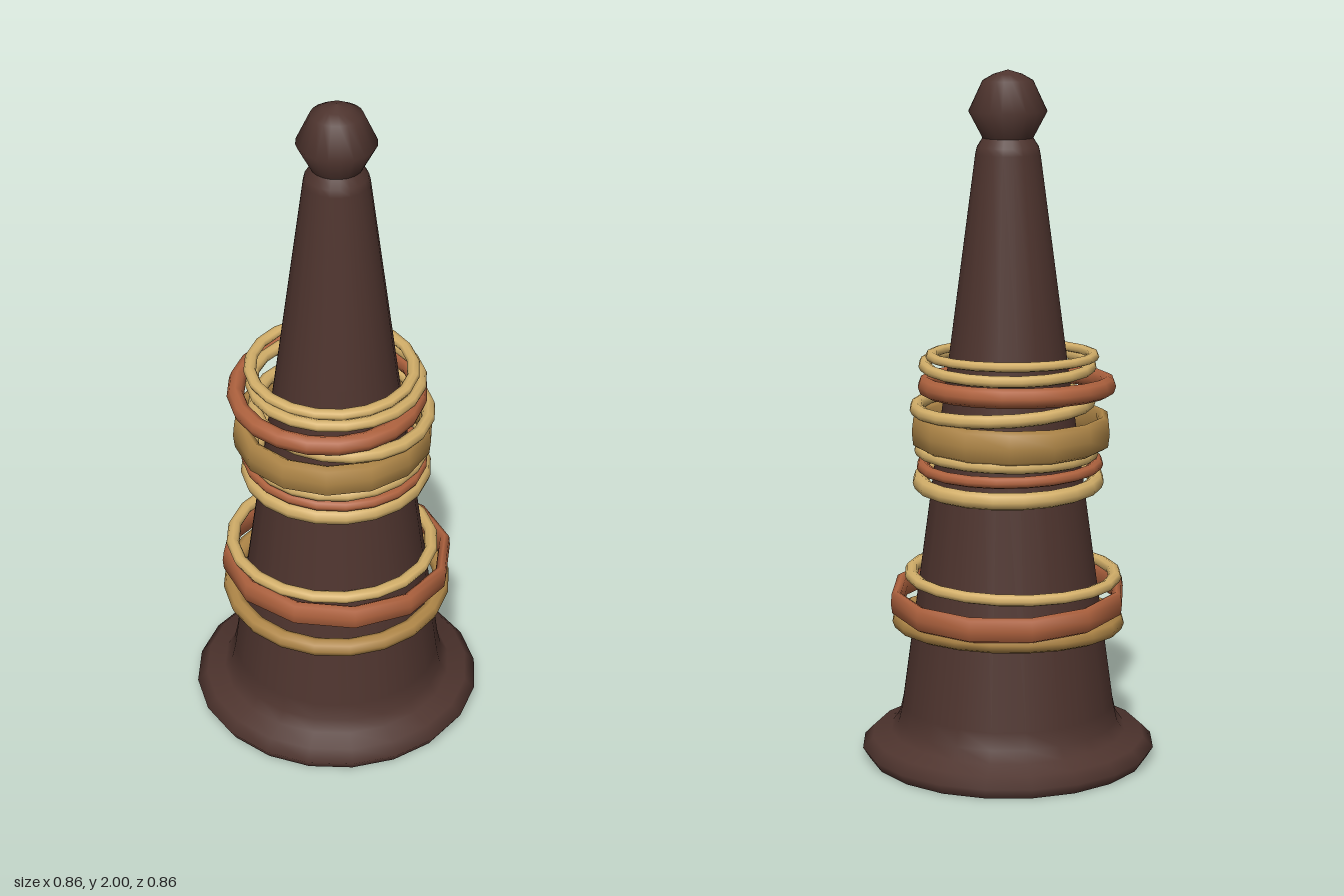
import * as THREE from 'three';

const material = (name, color) => {
  const m = new THREE.MeshStandardMaterial({ color });
  m.name = name;
  return m;
};

export function createModel() {
  const group = new THREE.Group();
  group.name = 'ringCone';
  const brown = material('dark brown', 0x4e342e);
  const copper = material('copper', 0xb0633f);
  const straw = material('straw', 0xd4b06a);
  const gold = material('gold', 0xb08748);

  // Turned stand: flared foot, tapering shaft and knob
  const lathe = (name, pts) => {
    const geo = new THREE.LatheGeometry(pts.map(p => new THREE.Vector2(...p)), 20);
    const mesh = new THREE.Mesh(geo, brown);
    mesh.name = name;
    group.add(mesh);
  };
  lathe('footUnderside', [[0, 0], [0.41, 0]]);
  lathe('stand', [[0.41, 0], [0.43, 0.032], [0.4, 0.062], [0.345, 0.078], [0.323, 0.11], [0.312, 0.16],
    [0.17, 1.19], [0.093, 1.765], [0.088, 1.785], [0.072, 1.81]]);
  lathe('knob', [[0.072, 1.81], [0.112, 1.885], [0.072, 1.97], [0.04, 1.988], [0, 2]]);

  // Loose ring fitted to its x and z extents; dx and dz are the rise across it
  const ring = (name, mat, [x0, x1], [z0, z1], y, height, thick, dx = 0, dz = 0, sides = 20, turn = 0) => {
    const w = x1 - x0, d = z1 - z0, r = (w + d) / 4 - thick / 2;
    const profile = [];
    for (let i = 0; i <= 8; i++) {
      const a = -Math.PI / 2 + (i / 8) * Math.PI * 2;
      // Squarer section for tall bands
      const s = v => Math.sign(v) * Math.pow(Math.abs(v), height > 0.07 ? 0.65 : 1);
      profile.push(new THREE.Vector2(r + s(Math.cos(a)) * thick / 2, s(Math.sin(a)) * height / 2));
    }
    const geo = new THREE.LatheGeometry(profile, sides);
    geo.rotateY(turn);
    geo.scale((2 * w) / (w + d), 1, (2 * d) / (w + d));
    const mesh = new THREE.Mesh(geo, mat);
    mesh.name = name;
    mesh.position.set((x0 + x1) / 2, y, (z0 + z1) / 2);
    mesh.rotation.set(-dz / d, 0, dx / w);
    group.add(mesh);
  };

  // Upper stack
  ring('topRing', straw, [-0.25, 0.255], [-0.215, 0.28], 1.183, 0.028, 0.036, -0.008, -0.012);
  ring('secondRing', straw, [-0.235, 0.28], [-0.22, 0.305], 1.153, 0.034, 0.036, 0.01, 0.01);
  ring('upperCopperRing', copper, [-0.3, 0.275], [-0.255, 0.32], 1.098, 0.058, 0.05, -0.012, -0.02);
  ring('middleStrawRing', straw, [-0.245, 0.295], [-0.255, 0.285], 1.043, 0.04, 0.04, -0.018, 0.016);
  ring('wideBand', gold, [-0.29, 0.292], [-0.268, 0.312], 0.97, 0.098, 0.042, 0.006, 0, 14);
  ring('underBandRing', straw, [-0.255, 0.28], [-0.255, 0.285], 0.908, 0.036, 0.036, 0.008, -0.008);
  ring('thinCopperRing', copper, [-0.27, 0.275], [-0.25, 0.285], 0.868, 0.034, 0.036, -0.008, 0.006);
  ring('upperStackBaseRing', straw, [-0.275, 0.28], [-0.275, 0.29], 0.823, 0.05, 0.044, 0.005, 0.012);

  // Lower stack
  ring('lowerStrawRing', straw, [-0.335, 0.305], [-0.305, 0.308], 0.546, 0.034, 0.038, 0.006, 0.004);
  ring('lowerCopperBand', copper, [-0.352, 0.34], [-0.355, 0.33], 0.482, 0.074, 0.034, 0.004, 0.034, 12, 0.14);
  ring('lowestRing', gold, [-0.338, 0.345], [-0.33, 0.345], 0.405, 0.054, 0.05, -0.008, -0.03);

  return group;
}
